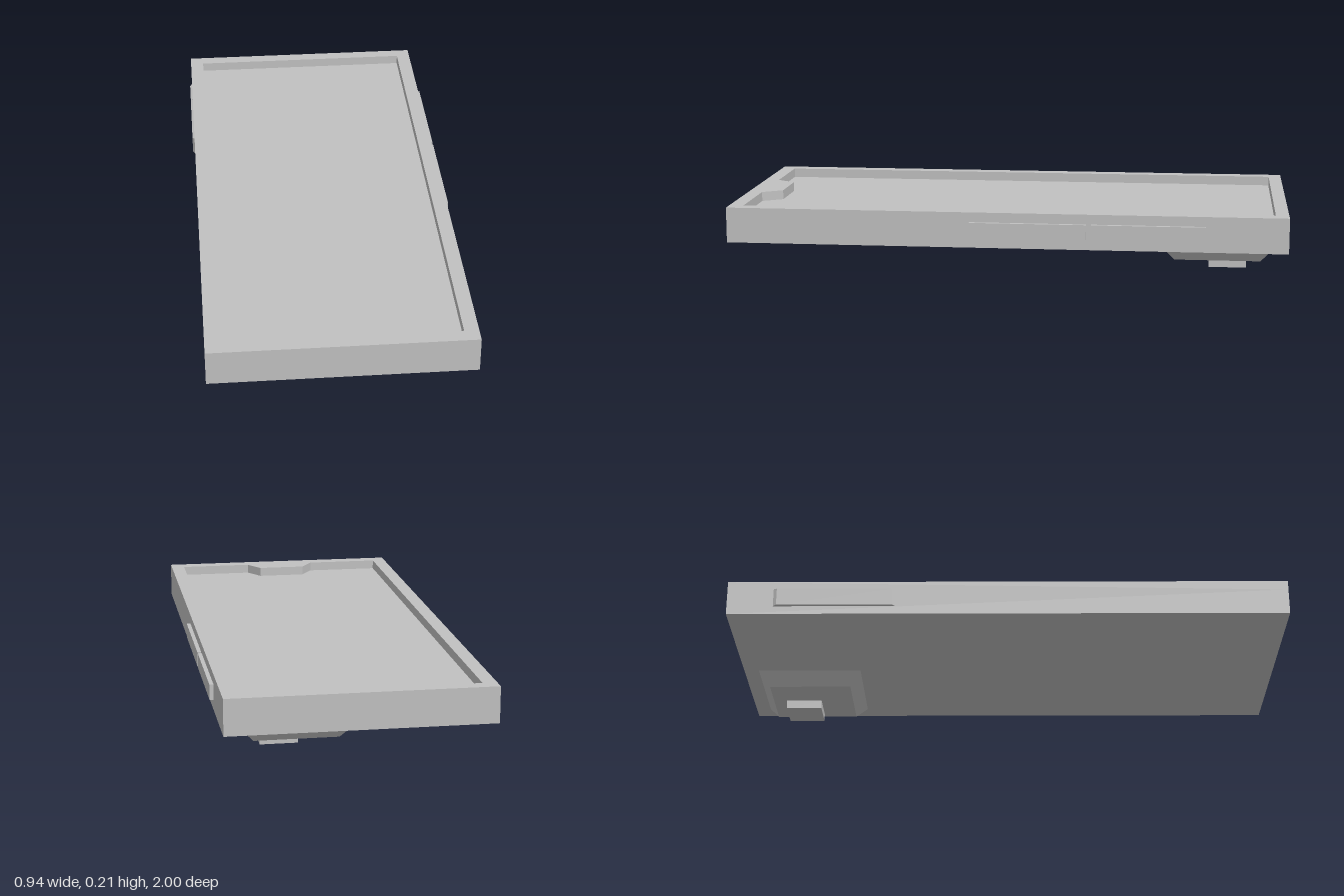
import * as THREE from 'three';

const X0 = -0.462, X1 = 0.453, BASE = 0.08, FLOOR = 0.173, TOP = 0.207;

export function createModel() {
  const group = new THREE.Group();
  const grey = new THREE.MeshStandardMaterial({ color: 0xc0c0c0 });
  grey.name = 'light grey';

  const add = (name, geometry) => {
    const mesh = new THREE.Mesh(geometry, grey);
    mesh.name = name;
    group.add(mesh);
    return mesh;
  };

  // Box between two corners; adjust(v) may move each corner before normals are rebuilt
  const block = (name, [ax, ay, az], [bx, by, bz], adjust) => {
    const g = new THREE.BoxGeometry(bx - ax, by - ay, bz - az);
    if (adjust) {
      const p = g.attributes.position;
      const v = new THREE.Vector3();
      for (let i = 0; i < p.count; i++) {
        adjust(v.fromBufferAttribute(p, i));
        p.setXYZ(i, v.x, v.y, v.z);
      }
      g.computeVertexNormals();
    }
    add(name, g).position.set((ax + bx) / 2, (ay + by) / 2, (az + bz) / 2);
  };

  // Slab under the sunken screen
  block('body', [X0, BASE, -1], [X1, FLOOR, 1]);

  // Raised rim around the screen, with a tapered notch at the front
  const outline = (points) => points.map(([x, z]) => new THREE.Vector2(x, -z));
  const rim = new THREE.Shape(outline([[X0, 1], [X1, 1], [X1, -1], [X0, -1]]));
  rim.holes.push(new THREE.Path(outline([
    [-0.412, -0.953], [0.402, -0.953], [0.402, 0.948], [0.13, 0.948],
    [0.085, 0.878], [-0.095, 0.878], [-0.14, 0.948], [-0.412, 0.948],
  ])));
  const rimGeometry = new THREE.ExtrudeGeometry(rim, { depth: TOP - FLOOR, bevelEnabled: false });
  rimGeometry.rotateX(-Math.PI / 2);
  add('rim', rimGeometry).position.y = FLOOR;

  // Pair of long buttons on the +x side
  for (const [z0, z1] of [[-0.71, -0.31], [-0.292, 0.122]]) {
    block('sideButton', [X1 - 0.01, 0.118, z0], [0.467, 0.172, z1]);
  }

  // Single button with sloped edges on the -x side
  block('powerButton', [-0.47, 0.11, -0.835], [X0, 0.179, -0.4], (v) => {
    if (v.x < 0) {
      v.y -= Math.sign(v.y) * 0.003;
      v.z -= Math.sign(v.z) * 0.012;
    }
  });

  // Camera mount narrowing downward, with a square lens block
  block('cameraMount', [0.017, 0.03, -0.945], [0.385, BASE, -0.56], (v) => {
    if (v.y < 0) {
      v.x -= Math.sign(v.x) * 0.04;
      v.z -= Math.sign(v.z) * 0.04;
    }
  });
  block('lens', [0.188, 0, -0.855], [0.317, 0.03, -0.722]);

  return group;
}
